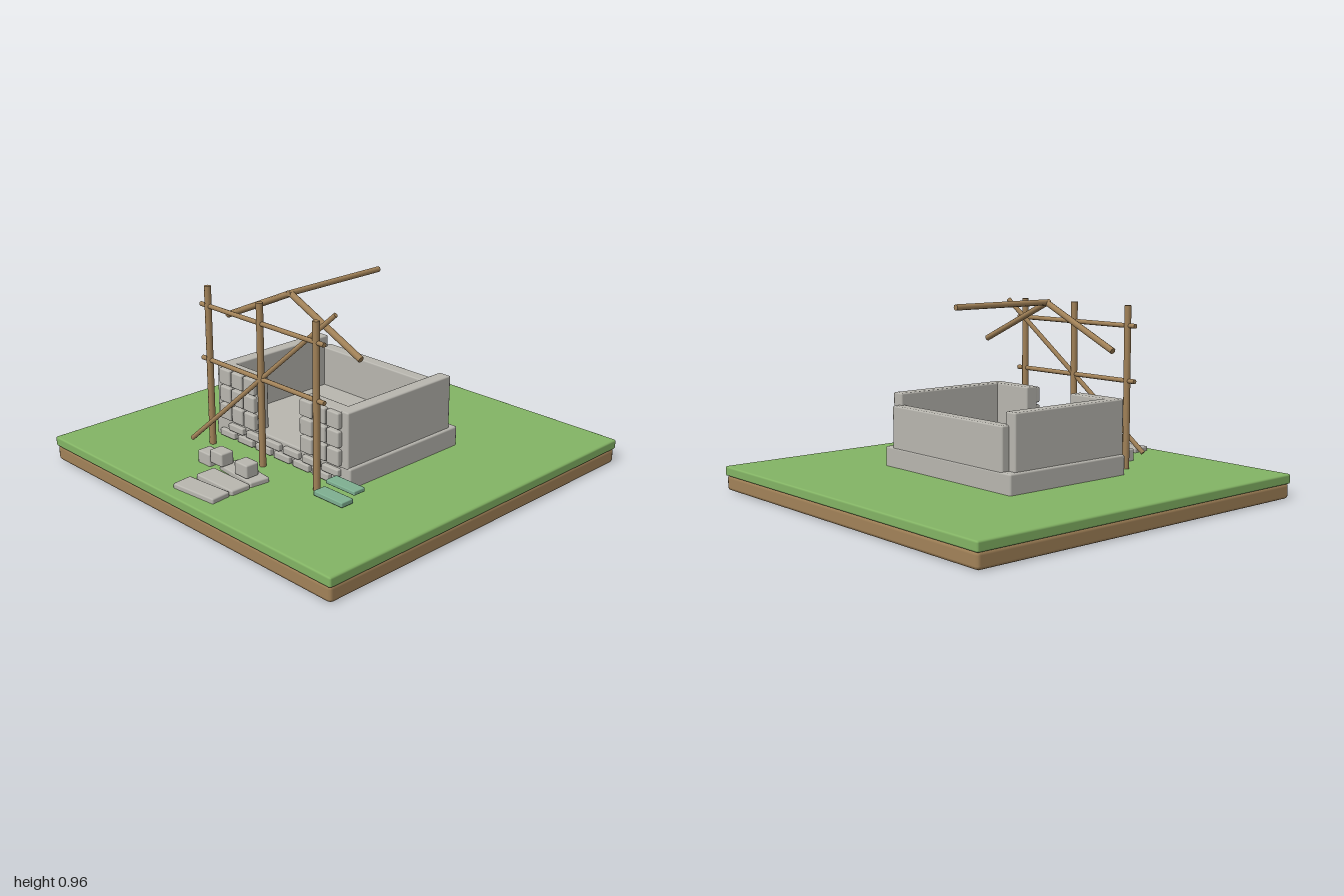
import * as THREE from 'three';
import { RoundedBoxGeometry } from 'three/addons/geometries/RoundedBoxGeometry.js';

const material = (name, color) => {
  const m = new THREE.MeshStandardMaterial({ color });
  m.name = name;
  return m;
};

export function createModel() {
  const model = new THREE.Group();
  model.name = 'buildingSite';
  const grass = material('grass green', 0x84b565);
  const wood = material('timber brown', 0xa38359);
  const stone = material('stone grey', 0xb9b7b0);
  const teal = material('painted plank green', 0x7fb092);

  // Bevelled block given by its min and max on each axis
  const block = (parent, name, mat, [x0, x1], [y0, y1], [z0, z1], bevel = 0.008) => {
    const mesh = new THREE.Mesh(new RoundedBoxGeometry(x1 - x0, y1 - y0, z1 - z0, 1, bevel), mat);
    mesh.position.set((x0 + x1) / 2, (y0 + y1) / 2, (z0 + z1) / 2);
    mesh.name = name;
    parent.add(mesh);
    return mesh;
  };

  // Round pole between two points
  const pole = (parent, name, a, b, radius) => {
    const from = new THREE.Vector3(...a), to = new THREE.Vector3(...b);
    const dir = to.clone().sub(from);
    const mesh = new THREE.Mesh(new THREE.CylinderGeometry(radius, radius, dir.length(), 8), wood);
    mesh.position.copy(from).add(to).multiplyScalar(0.5);
    mesh.quaternion.setFromUnitVectors(new THREE.Vector3(0, 1, 0), dir.normalize());
    mesh.name = name;
    parent.add(mesh);
  };

  const group = (name) => {
    const g = new THREE.Group();
    g.name = name;
    model.add(g);
    return g;
  };

  // Ground
  const ground = group('ground');
  block(ground, 'soil', wood, [-0.995, 0.995], [0, 0.08], [-0.995, 0.995], 0.018);
  block(ground, 'turf', grass, [-1, 1], [0.075, 0.125], [-1, 1], 0.01);

  // Foundation and walls
  const house = group('unfinishedHouse');
  block(house, 'foundation', stone, [-0.48, 0.48], [0.11, 0.225], [-0.375, 0.37], 0.01);
  block(house, 'backWall', stone, [-0.42, 0.42], [0.215, 0.437], [-0.372, -0.305]);
  for (const s of [-1, 1]) {
    const span = (a, b) => (s > 0 ? [a, b] : [-b, -a]);
    block(house, 'sideWall', stone, span(0.395, 0.465), [0.215, 0.498], [-0.332, 0.37]);
    block(house, 'frontWall', stone, span(0.16, 0.425), [0.215, 0.498], [0.3, 0.372]);
    // Facing stones, three by three on each front wall
    for (let row = 0; row < 3; row++) {
      for (let col = 0; col < 3; col++) {
        const x = 0.163 + col * 0.09, y = 0.226 + row * 0.092;
        block(house, 'facingStone', stone, span(x, x + 0.081), [y, y + 0.082], [0.36, 0.395]);
      }
    }
  }

  // Staggered facing stones on the foundation
  for (let row = 0; row < 2; row++) {
    for (let i = 0; i < 6; i++) {
      const x = -0.43 + i * 0.135 + row * 0.065, y = 0.13 + row * 0.043;
      block(house, 'foundationStone', stone, [x, x + 0.11], [y, y + 0.036], [0.36, 0.393], 0.006);
    }
  }

  // Ridge beam and front rafters
  const roof = group('roofFrame');
  pole(roof, 'ridgeBeam', [0, 0.947, 0.305], [0, 0.947, -0.3], 0.015);
  for (const s of [-1, 1]) pole(roof, 'rafter', [0, 0.945, 0.29], [s * 0.465, 0.735, 0.29], 0.016);

  // Scaffold
  const scaffold = group('scaffold');
  for (const x of [-0.377, 0, 0.377]) pole(scaffold, 'post', [x, 0.12, 0.483], [x, 0.942, 0.483], 0.017);
  for (const y of [0.568, 0.842]) pole(scaffold, 'rail', [-0.43, y, 0.483], [0.43, y, 0.483], 0.012);
  pole(scaffold, 'brace', [-0.38, 0.19, 0.606], [0.377, 0.942, 0.363], 0.012);

  // Planks beside the scaffold
  const planks = group('planks');
  block(planks, 'upperPlank', teal, [0.412, 0.597], [0.164, 0.185], [0.392, 0.461], 0.005);
  block(planks, 'lowerPlank', teal, [0.412, 0.597], [0.13, 0.155], [0.467, 0.539], 0.005);

  // Stepping slabs and loose blocks
  const path = group('path');
  for (const [z, turn] of [[0.617, -0.11], [0.747, 0], [0.875, 0.09]]) {
    const slab = block(path, 'pathSlab', stone, [-0.11, 0.153], [0.118, 0.149], [z - 0.054, z + 0.054]);
    slab.rotation.y = turn;
  }
  for (const [x, y] of [[-0.21, 0.12], [-0.118, 0.15], [0.063, 0.15]]) {
    block(path, 'looseBlock', stone, [x - 0.045, x + 0.045], [y, y + 0.068], [0.6, 0.675]);
  }

  return model;
}
